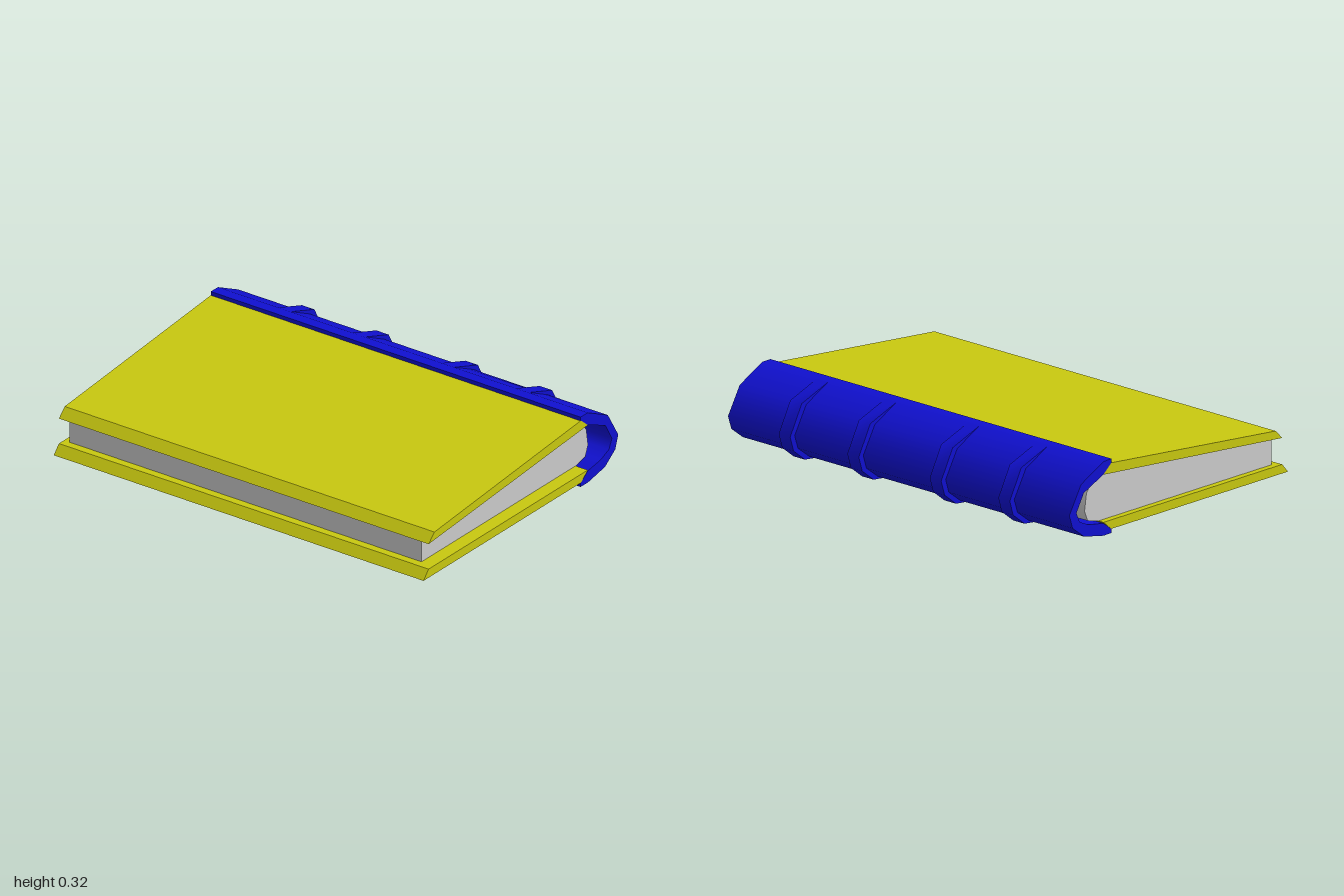
import * as THREE from 'three';
import { toCreasedNormals } from 'three/addons/utils/BufferGeometryUtils.js';

const YELLOW = 0xc8c810, BLUE = 0x1010d0, GREY = 0xcccccc;

// Extrudes a [z, y] cross-section along x, from x0 to x1
function profile(name, points, x0, x1, color, crease = 0.1) {
  const shape = new THREE.Shape(points.map(([z, y]) => new THREE.Vector2(-z, y)));
  let geometry = new THREE.ExtrudeGeometry(shape, { depth: x1 - x0, bevelEnabled: false });
  geometry.rotateY(Math.PI / 2).translate(x0, 0, 0);
  geometry = toCreasedNormals(geometry, crease);
  const mesh = new THREE.Mesh(geometry, new THREE.MeshStandardMaterial({ color }));
  mesh.name = name;
  return mesh;
}

export function createModel() {
  const book = new THREE.Group();
  book.name = 'book';
  const half = 0.953;

  // Boards with bevelled front and back edges
  book.add(profile('topCover',
    [[0.589, 0.195], [0.629, 0.155], [-0.46, 0.265], [-0.413, 0.305]], -half, half, YELLOW));
  book.add(profile('bottomCover',
    [[0.664, 0], [0.629, 0.04], [-0.46, 0.058], [-0.413, 0.018]], -half, half, YELLOW));

  // Page block with a rounded back
  book.add(profile('pages', [
    [0.594, 0.04], [0.594, 0.159], [-0.459, 0.264], [-0.51, 0.227], [-0.533, 0.196],
    [-0.545, 0.12], [-0.526, 0.075], [-0.46, 0.057],
  ], -0.925, 0.89, GREY, 0.8));

  // Spine shell: outer curve, then inner curve back
  const outer = [[-0.46, 0.322], [-0.597, 0.256], [-0.668, 0.138],
    [-0.648, 0.078], [-0.578, 0.025], [-0.46, 0]];
  const inner = [[-0.46, 0.054], [-0.55, 0.07], [-0.605, 0.095], [-0.625, 0.138],
    [-0.58, 0.215], [-0.46, 0.266]];
  book.add(profile('spine',
    [[-0.41, 0.322], ...outer, [-0.41, 0], [-0.41, 0.016], ...inner, [-0.41, 0.29]],
    -half, half, BLUE, 1.05));

  // Raised bands across the spine
  const ridge = [[-0.465, 0.32], [-0.625, 0.266], [-0.695, 0.138],
    [-0.674, 0.072], [-0.605, 0.018], [-0.465, 0.001]];
  const band = [...ridge, ...outer.slice(1, -1).reverse()];
  for (const x of [-0.613, -0.23, 0.23, 0.613]) {
    book.add(profile('spineBand', band, x - 0.032, x + 0.032, BLUE, 1.05));
  }

  // The book lies slightly turned
  book.rotation.y = -0.071;
  const model = new THREE.Group();
  model.name = 'bookModel';
  model.add(book);
  return model;
}
